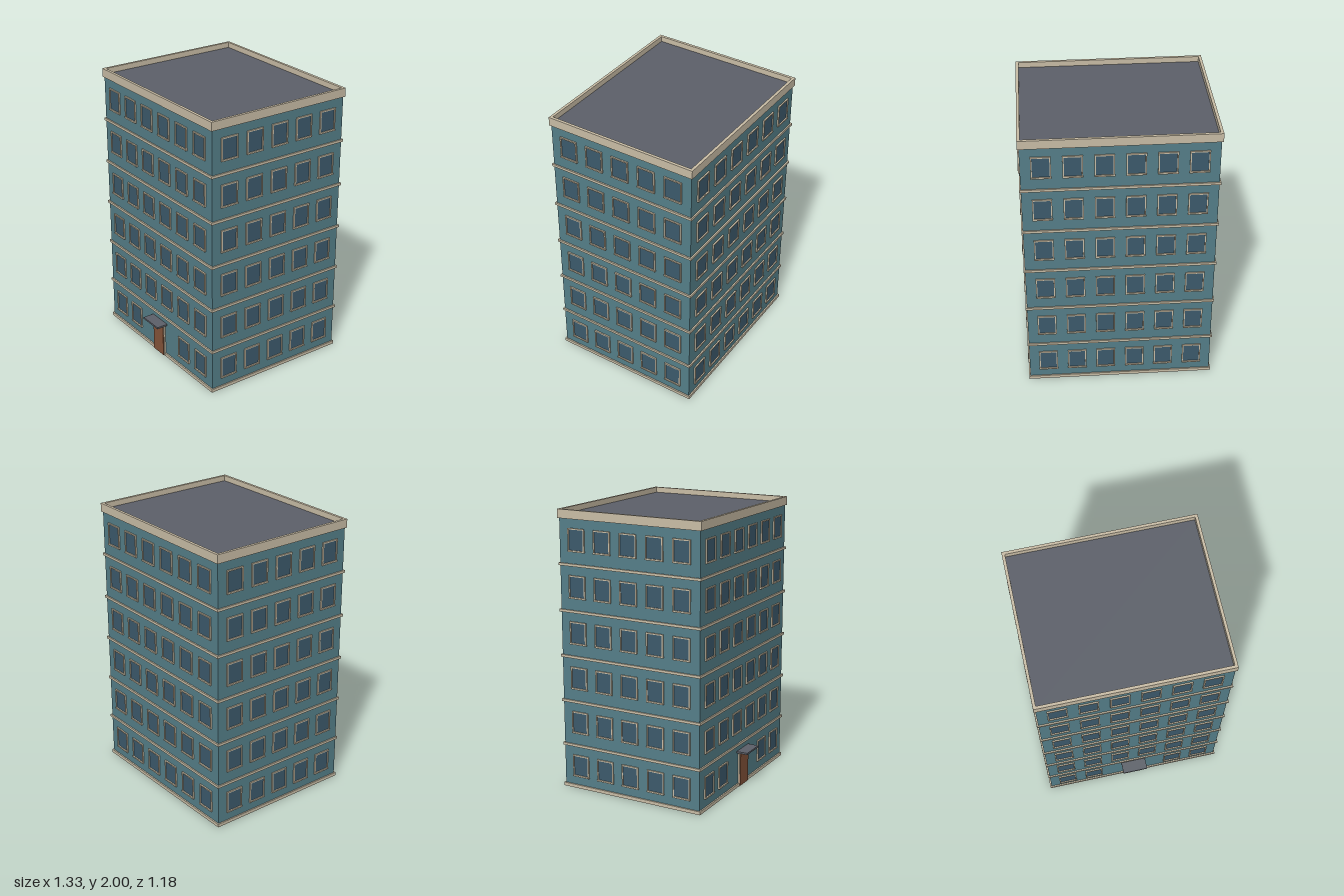
import * as THREE from 'three';

const W = 1.3, D = 1.088, ZC = -0.037;   // wall footprint and its centre in z
const FLOORS = 6, STOREY = 0.3255, BAND = 0.01;

const mat = (name, color) => {
  const m = new THREE.MeshStandardMaterial({ color });
  m.name = name;
  return m;
};

export function createModel() {
  const wall = mat('teal wall', 0x557f89);
  const trim = mat('stone trim', 0xc9bda6);
  const glass = mat('window glass', 0x3c5a6c);
  const wood = mat('door wood', 0x85543a);
  const slate = mat('roof slate', 0x5c6069);

  const model = new THREE.Group();
  model.name = 'apartmentBuilding';
  const building = new THREE.Group();
  building.name = 'building';
  building.position.z = ZC;
  model.add(building);

  const add = (parent, name, geometry, material, x, y, z) => {
    const mesh = new THREE.Mesh(geometry, material);
    mesh.name = name;
    mesh.position.set(x, y, z);
    parent.add(mesh);
    return mesh;
  };
  const box = (parent, name, w, h, d, material, x, y, z) =>
    add(parent, name, new THREE.BoxGeometry(w, h, d), material, x, y, z);

  // rectangular ring standing in the xy plane, extruded towards +z
  const ring = (w, h, t, depth) => {
    const rect = (C, a, b) => new C([[-a, -b], [a, -b], [a, b], [-a, b]].map(p => new THREE.Vector2(...p)));
    const shape = rect(THREE.Shape, w / 2, h / 2);
    shape.holes.push(rect(THREE.Path, w / 2 - t, h / 2 - t));
    return new THREE.ExtrudeGeometry(shape, { depth, bevelEnabled: false });
  };

  // walls, plinth, storey bands and cornice
  const fullW = W + 2 * BAND, fullD = D + 2 * BAND;
  box(building, 'walls', W, 1.93, D, wall, 0, 0.985, 0);
  box(building, 'plinth', fullW, 0.024, fullD, trim, 0, 0.012, 0);
  for (let i = 1; i <= FLOORS; i++) {
    const name = i < FLOORS ? 'storeyBand' : 'cornice';
    box(building, name, fullW, 0.018, fullD, trim, 0, 0.32 + (i - 1) * STOREY, 0);
  }

  // flat roof inside a low parapet
  box(building, 'roof', W - 0.01, 0.008, D - 0.01, slate, 0, 1.957, 0);
  const parapet = ring(fullW, fullD, 0.02, 0.046).rotateX(-Math.PI / 2);
  add(building, 'parapet', parapet, trim, 0, 1.954, 0);

  // one window: frame, glass and sill, sharing geometry
  const frameGeo = ring(0.132, 0.16, 0.009, 0.01);
  const glassGeo = new THREE.BoxGeometry(0.116, 0.144, 0.004);
  const sillGeo = new THREE.BoxGeometry(0.134, 0.01, 0.013);
  const addWindow = (facade, x, y) => {
    const win = new THREE.Group();
    win.name = 'window';
    win.position.set(x, y, 0);
    add(win, 'windowFrame', frameGeo, trim, 0, 0, 0);
    add(win, 'windowGlass', glassGeo, glass, 0, 0, 0.002);
    add(win, 'windowSill', sillGeo, trim, 0, -0.077, 0.0065);
    facade.add(win);
  };

  // four facades, each built facing +z and turned into place
  const facades = [
    ['frontFacade', 6, 0.206, 0, D / 2],
    ['leftFacade', 5, 0.204, Math.PI / 2, W / 2],
    ['backFacade', 6, 0.206, Math.PI, D / 2],
    ['rightFacade', 5, 0.204, -Math.PI / 2, W / 2],
  ];
  for (const [name, columns, step, turn, reach] of facades) {
    const facade = new THREE.Group();
    facade.name = name;
    facade.rotation.y = turn;
    facade.position.set(Math.sin(turn) * reach, 0, Math.cos(turn) * reach);
    for (let f = 0; f < FLOORS; f++) {
      for (let c = 0; c < columns; c++) {
        const x = (c - (columns - 1) / 2) * step;
        // leave room for the entrance
        if (name === 'frontFacade' && f === 0 && Math.abs(x) < 0.15) continue;
        addWindow(facade, x, 0.168 + f * STOREY);
      }
    }
    building.add(facade);
  }

  // entrance door with surround and canopy
  const entrance = new THREE.Group();
  entrance.name = 'entrance';
  entrance.position.z = D / 2;
  box(entrance, 'doorSurround', 0.136, 0.246, 0.012, trim, 0, 0.123, 0.006);
  box(entrance, 'door', 0.124, 0.236, 0.016, wood, 0, 0.122, 0.01);
  box(entrance, 'canopy', 0.184, 0.013, 0.083, slate, 0, 0.266, 0.0415);
  building.add(entrance);

  return model;
}
